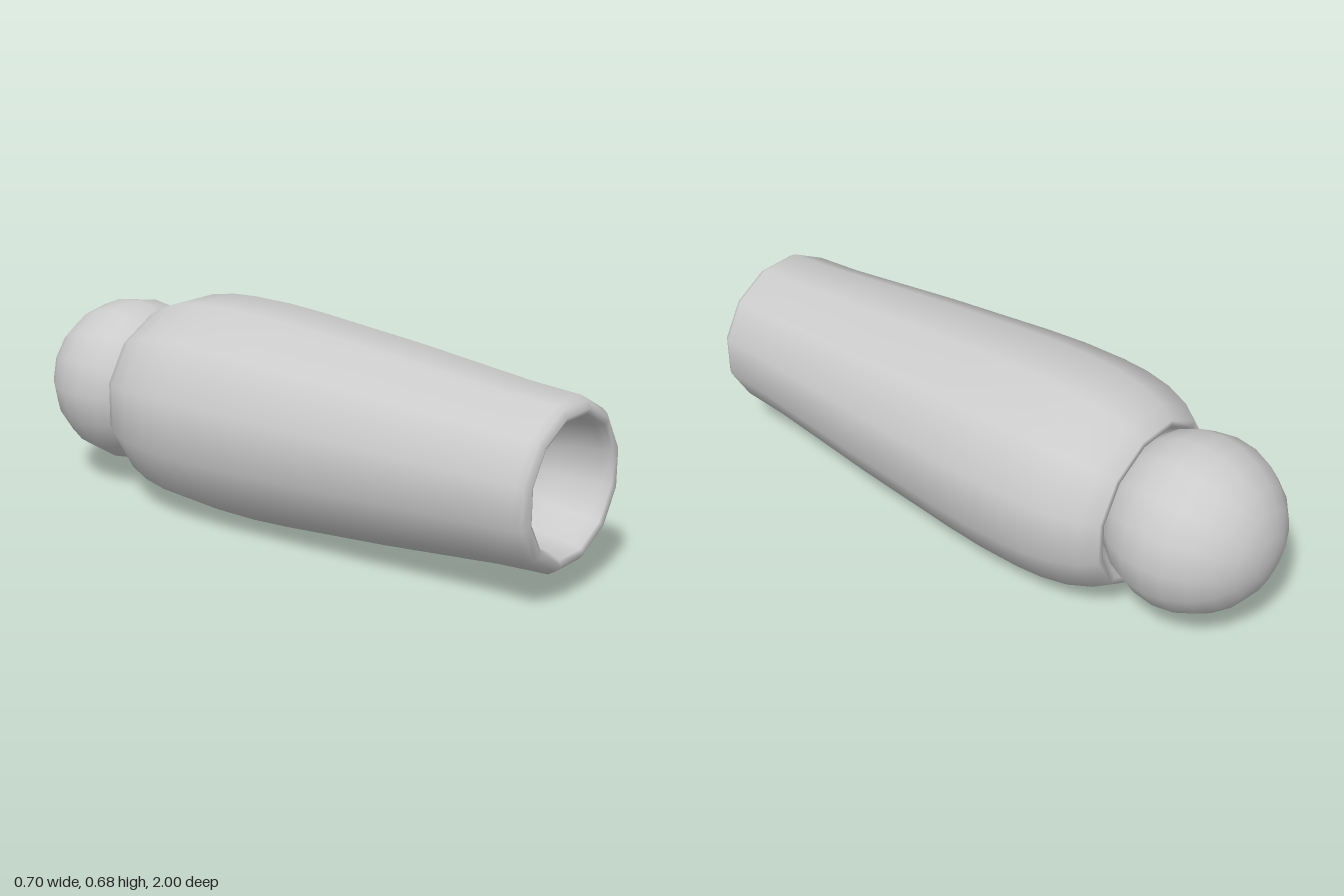
import * as THREE from 'three';

const SIDES = 12;
const CENTRE_Y = 0.338;
const WIDEN = 1.042; // the section is slightly wider than tall

export function createModel() {
  const model = new THREE.Group();
  model.name = 'ballJointSegment';
  const material = new THREE.MeshStandardMaterial({ color: 0xcccccc });

  // Sleeve profile as [half height, z]: rear recess, outer wall, rounded rim
  const profile = [
    [0, -0.5], [0.2, -0.53], [0.228, -0.565], [0.24, -0.583], [0.256, -0.58],
    [0.29, -0.53], [0.318, -0.45], [0.333, -0.36], [0.338, -0.27], [0.337, -0.12],
    [0.329, 0.02], [0.298, 0.4], [0.258, 0.8], [0.248, 0.965],
    [0.236, 0.985], [0.218, 1], [0.202, 0.992], [0.192, 0.965],
  ];
  // Concave socket behind the rim
  for (let i = 1; i <= 6; i++) {
    const a = (i / 6) * Math.PI / 2;
    profile.push([0.192 * Math.cos(a), 0.95 - 0.24 * Math.sin(a)]);
  }

  // Flats face up, down and sideways, so convert half heights to corner radii
  const toCorner = 1 / Math.cos(Math.PI / SIDES);
  const points = profile.map(([r, z]) => new THREE.Vector2(Math.max(r, 0) * toCorner, z));
  const sleeveGeometry = new THREE.LatheGeometry(points, SIDES, Math.PI / SIDES);
  sleeveGeometry.rotateX(Math.PI / 2);
  const sleeve = new THREE.Mesh(sleeveGeometry, material);
  sleeve.name = 'sleeve';
  sleeve.scale.x = WIDEN;
  sleeve.position.y = CENTRE_Y;
  model.add(sleeve);

  // Ball seated in the rear recess
  const ballGeometry = new THREE.SphereGeometry(0.272, 16, 12);
  ballGeometry.rotateX(Math.PI / 2);
  const ball = new THREE.Mesh(ballGeometry, material);
  ball.name = 'ball';
  ball.scale.x = WIDEN * 0.985;
  ball.position.set(0, CENTRE_Y + 0.002, -0.728);
  model.add(ball);

  return model;
}
